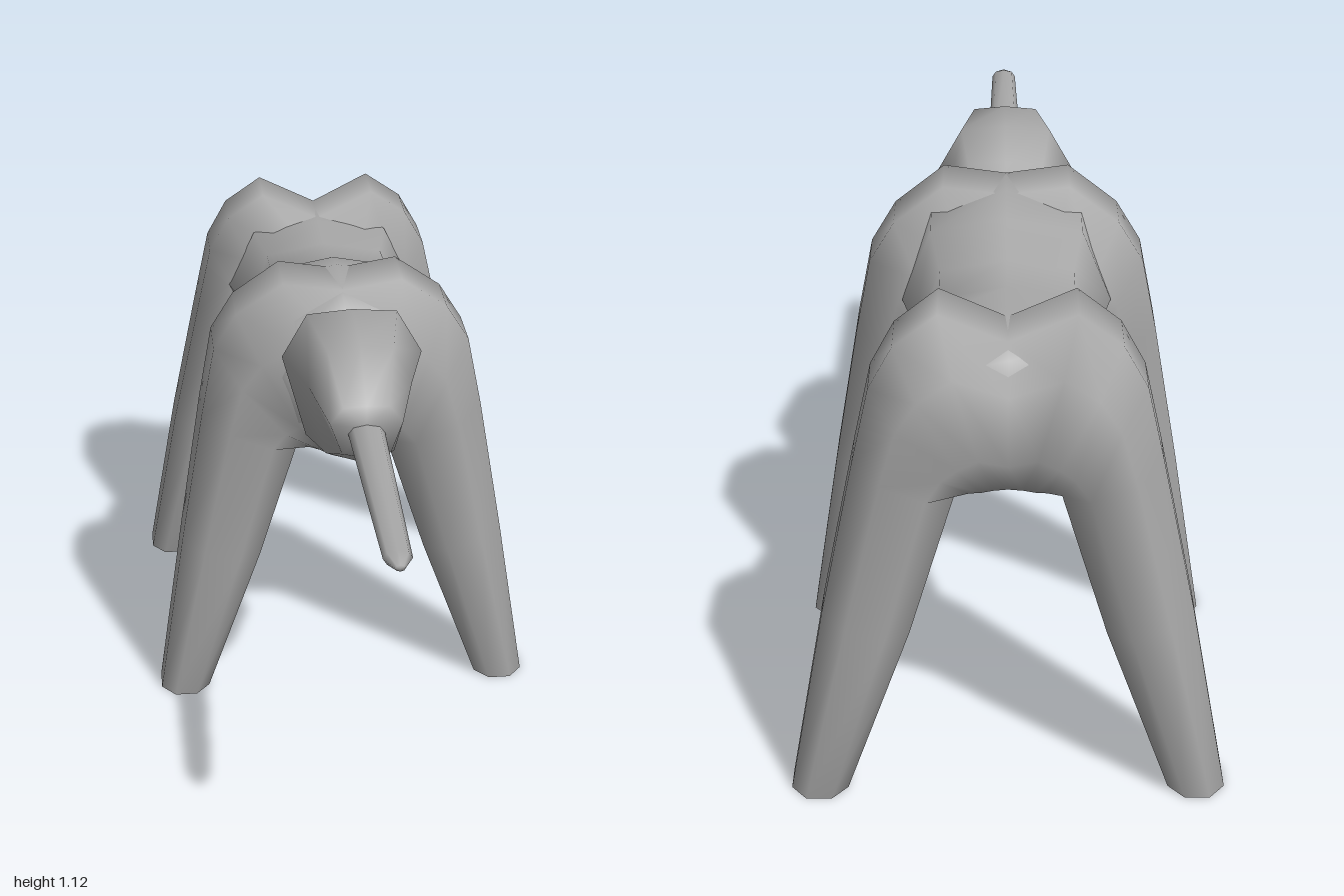
import * as THREE from 'three';

// Unit cross-sections, eight corners each, anticlockwise
const LEG = [[1, 0.45], [0.45, 1], [-0.45, 1], [-1, 0.45], [-1, -0.45], [-0.45, -1], [0.45, -1], [1, -0.45]];
const TORSO = [[1, 0], [0.72, 0.84], [0, 1], [-0.72, 0.84], [-1, 0], [-0.72, -0.8], [0, -1], [0.72, -0.8]];
const HEAD = [[1, 0.35], [0.64, 0.95], [0, 1], [-0.64, 0.95], [-1, 0.35], [-0.67, -0.82], [0, -1], [0.67, -0.82]];
const ROUND = [[1, 0], [0.72, 0.72], [0, 1], [-0.72, 0.72], [-1, 0], [-0.72, -0.72], [0, -1], [0.72, -0.72]];
const SIDES = 8;

// Places a unit section at a centre with two half-axis vectors
function ring(section, c, u, v) {
  return section.map(([a, b]) => c.clone().addScaledVector(u, a).addScaledVector(v, b));
}

// Smooth closed skin through a series of sections
function loft(rings, name, material) {
  const pts = rings.flat();
  const index = [];
  const n = rings.length;
  for (let i = 0; i < n - 1; i++) {
    for (let k = 0; k < SIDES; k++) {
      const a = i * SIDES + k, b = i * SIDES + ((k + 1) % SIDES);
      index.push(a, b, b + SIDES, a, b + SIDES, a + SIDES);
    }
  }
  for (const i of [0, n - 1]) {
    const centre = pts.length;
    const mid = new THREE.Vector3();
    rings[i].forEach((p) => mid.addScaledVector(p, 1 / SIDES));
    pts.push(mid);
    for (let k = 0; k < SIDES; k++) {
      const a = i * SIDES + k, b = i * SIDES + ((k + 1) % SIDES);
      if (i === 0) index.push(centre, b, a);
      else index.push(centre, a, b);
    }
  }
  const geo = new THREE.BufferGeometry().setFromPoints(pts);
  geo.setIndex(index);
  geo.computeVertexNormals();
  const mesh = new THREE.Mesh(geo, material);
  mesh.name = name;
  return mesh;
}

// Sections along z, back to front: [z, half width, bottom y, top y]
function bodyLoft(section, rows, name, material) {
  return loft(rows.map(([z, w, lo, hi]) => ring(section,
    new THREE.Vector3(0, (lo + hi) / 2, z),
    new THREE.Vector3(w, 0, 0),
    new THREE.Vector3(0, (hi - lo) / 2, 0))), name, material);
}

// A pair of legs joined over the body as one arch, listed from foot to spine:
// [outer x, outer y, inner x, inner y, front z, back z]
function legArch(rows, name, material) {
  const place = ([ox, oy, ix, iy, zf, zb], s) => ring(LEG,
    new THREE.Vector3(s * (ox + ix) / 2, (oy + iy) / 2, (zf + zb) / 2),
    new THREE.Vector3(s * (ox - ix) / 2, (oy - iy) / 2, 0),
    new THREE.Vector3(0, 0, (zf - zb) / 2));
  const right = rows.map((r) => place(r, -1));
  const left = rows.slice(0, -1).reverse().map((r) => place(r, 1));
  return loft([...right, ...left], name, material);
}

export function createModel() {
  const group = new THREE.Group();
  const grey = new THREE.MeshStandardMaterial({ color: 0xa8a8a8 });
  grey.name = 'grey';

  // Torso
  group.add(bodyLoft(TORSO, [
    [-0.94, 0.13, 0.74, 0.99],
    [-0.84, 0.2, 0.69, 1.01],
    [-0.73, 0.235, 0.685, 1.015],
    [-0.6, 0.2, 0.68, 1.005],
    [-0.48, 0.2, 0.71, 1.015],
    [-0.36, 0.23, 0.68, 1.065],
    [-0.25, 0.23, 0.66, 1.09],
    [-0.12, 0.2, 0.68, 1.08],
    [-0.03, 0.14, 0.76, 1.035],
  ], 'torso', grey));

  // Front legs with shoulders
  group.add(legArch([
    [0.46, 0, 0.34, 0, -0.1, -0.25],
    [0.395, 0.42, 0.205, 0.37, -0.088, -0.285],
    [0.338, 0.76, 0.11, 0.67, -0.067, -0.335],
    [0.305, 0.93, 0.08, 0.66, -0.065, -0.355],
    [0.25, 1.02, 0.055, 0.655, -0.055, -0.355],
    [0.14, 1.1, 0.03, 0.65, -0.03, -0.35],
    [0, 1.08, 0, 0.642, -0.03, -0.34],
  ], 'frontLegs', grey));

  // Hind legs with hips
  group.add(legArch([
    [0.46, 0, 0.34, 0, -0.845, -1],
    [0.385, 0.42, 0.205, 0.37, -0.785, -1],
    [0.315, 0.76, 0.11, 0.68, -0.73, -0.995],
    [0.28, 0.92, 0.08, 0.685, -0.72, -0.995],
    [0.23, 1.01, 0.055, 0.685, -0.71, -0.995],
    [0.14, 1.075, 0.03, 0.685, -0.69, -0.99],
    [0, 1.01, 0, 0.68, -0.69, -0.97],
  ], 'hindLegs', grey));

  // Head
  group.add(bodyLoft(HEAD, [
    [-0.06, 0.11, 0.79, 1.02],
    [-0.01, 0.135, 0.785, 1.07],
    [0.09, 0.16, 0.78, 1.12],
    [0.27, 0.115, 0.825, 1.108],
    [0.4, 0.08, 0.9, 1.025],
  ], 'head', grey));

  // Long thin snout
  group.add(bodyLoft(ROUND, [
    [0.38, 0.041, 0.938, 0.98],
    [0.96, 0.03, 0.942, 0.978],
    [1, 0.01, 0.953, 0.967],
  ], 'snout', grey));

  return group;
}
